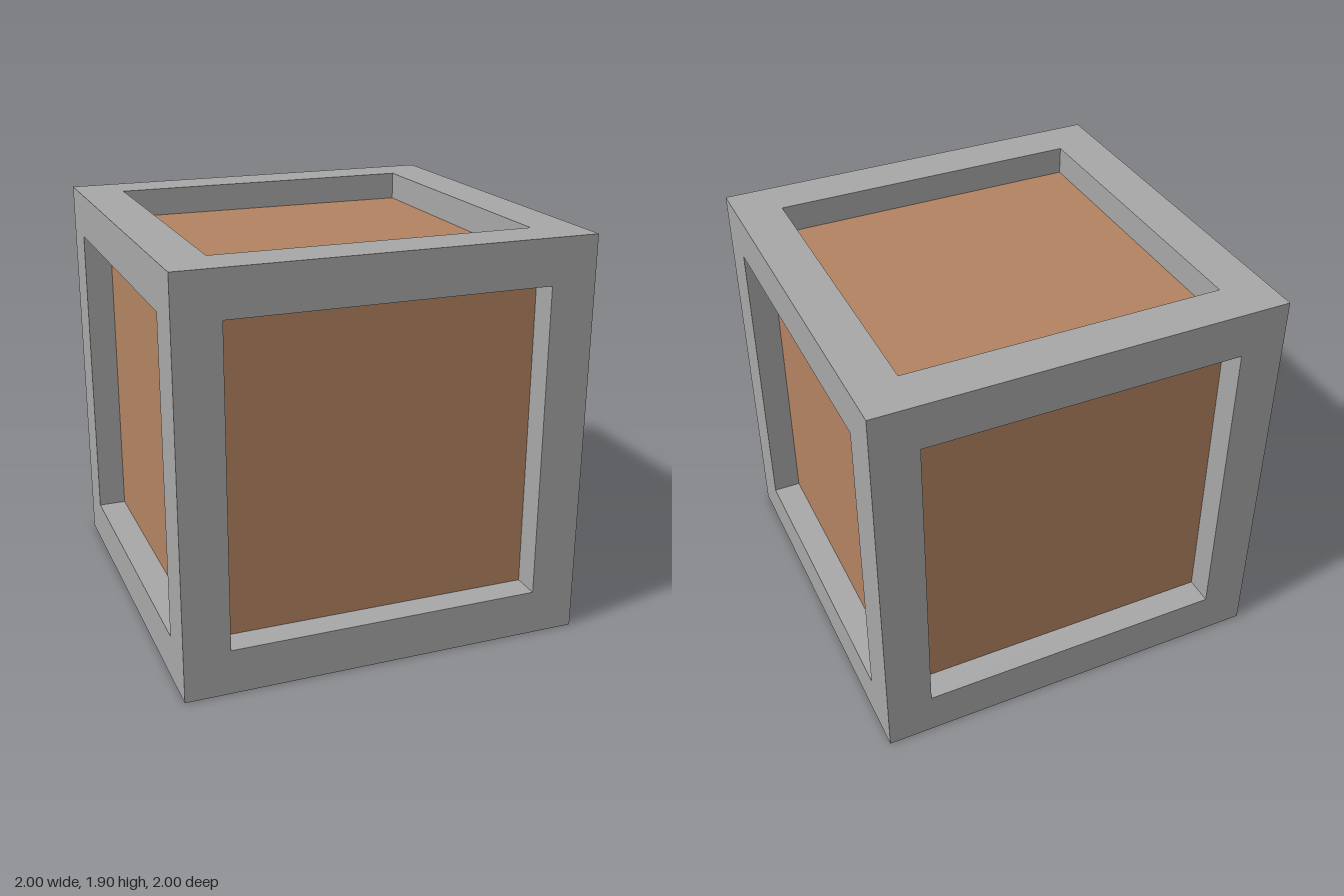
import * as THREE from 'three';

const SIZE = 1.9;      // cube edge
const BEAM = 0.2125;   // frame width
const RECESS = 0.133;  // panel depth below the frame

export function createModel() {
  const grey = new THREE.MeshStandardMaterial({ color: 0xa9a9a9 });
  grey.name = 'frame grey';
  const tan = new THREE.MeshStandardMaterial({ color: 0xb48462 });
  tan.name = 'panel tan';

  const model = new THREE.Group();
  model.name = 'framedCrate';

  // Crate is turned slightly about the vertical axis
  const crate = new THREE.Group();
  crate.name = 'crate';
  crate.position.y = SIZE / 2;
  crate.rotation.y = 0.0541;
  model.add(crate);

  const addBox = (name, size, pos, material) => {
    const mesh = new THREE.Mesh(new THREE.BoxGeometry(...size), material);
    mesh.name = name;
    mesh.position.set(...pos);
    crate.add(mesh);
  };

  // Inner box whose six faces are the recessed panels
  const inner = SIZE - 2 * RECESS;
  addBox('recessedPanels', [inner, inner, inner], [0, 0, 0], tan);

  // Twelve frame beams: full-height posts, rails fitted between them
  const c = (SIZE - BEAM) / 2;
  const span = SIZE - 2 * BEAM;
  for (const a of [-c, c]) {
    for (const b of [-c, c]) {
      addBox('cornerPost', [BEAM, SIZE, BEAM], [a, 0, b], grey);
      addBox('crossRail', [span, BEAM, BEAM], [0, a, b], grey);
      addBox('sideRail', [BEAM, BEAM, span], [a, b, 0], grey);
    }
  }
  return model;
}
